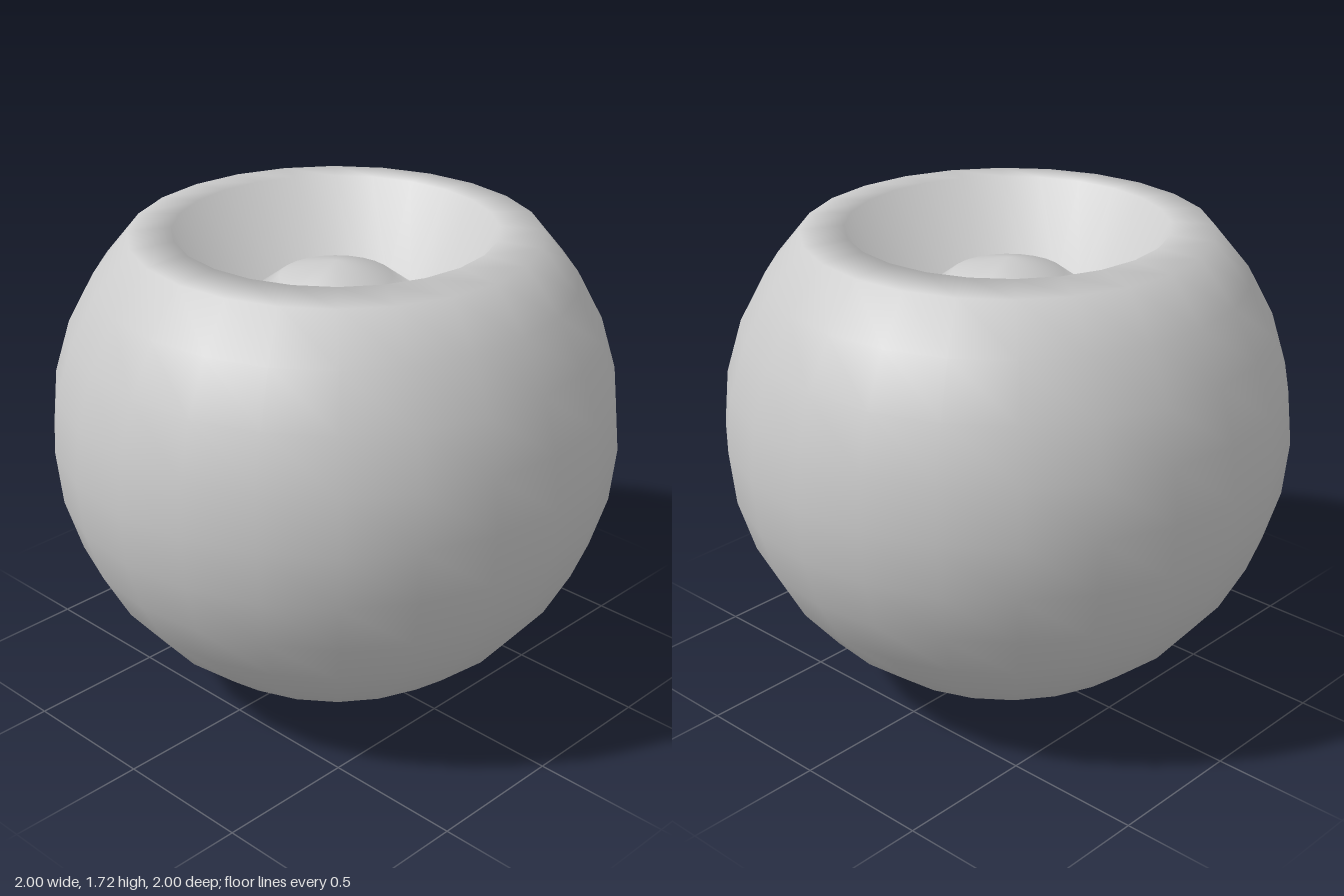
import * as THREE from 'three';
import { mergeVertices } from 'three/addons/utils/BufferGeometryUtils.js';

// Lathe with shared vertices, so shading is smooth over the seam and the poles
function smoothLathe(profile, segments) {
  const geometry = new THREE.LatheGeometry(profile, segments);
  geometry.deleteAttribute('normal');
  geometry.deleteAttribute('uv');
  const merged = mergeVertices(geometry, 1e-4);
  merged.computeVertexNormals();
  return merged;
}

export function createModel() {
  const model = new THREE.Group();
  const profile = [];

  // Spherical outside, from the bottom pole up to the shoulder
  const step = Math.PI / 16;
  for (let i = 0; i <= 12; i++) {
    profile.push(new THREE.Vector2(Math.sin(i * step), 1 - Math.cos(i * step)));
  }
  profile[0].x = 0;

  // Rim, valley of the hollow, and the mound in its middle
  const hollow = [[0.556, 1.72], [0.383, 1.405], [0.195, 1.545], [0, 1.6]];
  for (const [r, y] of hollow) profile.push(new THREE.Vector2(r, y));

  const body = new THREE.Mesh(
    smoothLathe(profile, 24),
    new THREE.MeshStandardMaterial({ color: 0xcccccc })
  );
  body.name = 'dimpledSphere';
  model.add(body);
  return model;
}
